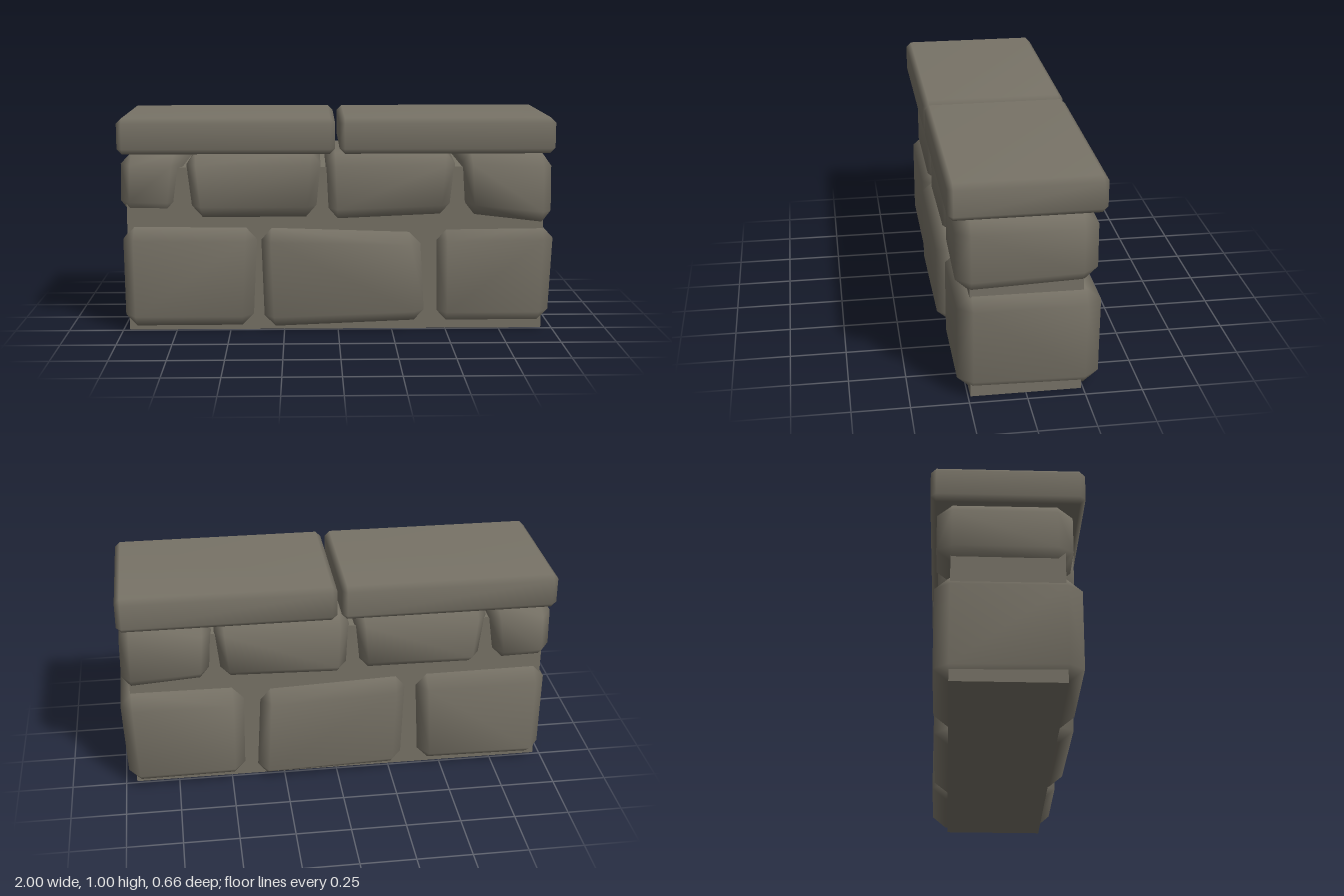
import * as THREE from 'three';
import { ConvexGeometry } from 'three/addons/geometries/ConvexGeometry.js';
import { mergeVertices } from 'three/addons/utils/BufferGeometryUtils.js';

const stone = new THREE.MeshStandardMaterial({ color: 0x787367 });
stone.name = 'warm grey stone';

// Bevelled block between a front and a back quad; corners run BL, BR, TR, TL.
function bevelledBlock(front, back, zFront, zBack, bevel) {
  const [bx, by, bz] = bevel;
  const width = front[1][0] - front[0][0];
  const height = front[3][1] - front[0][1];
  const inset = [bx / width, by / height, bz / (zFront - zBack)];
  const mix = THREE.MathUtils.lerp;
  const onQuad = (q, u, v, k) => mix(mix(q[0][k], q[1][k], u), mix(q[3][k], q[2][k], u), v);
  const points = [];
  for (const i of [0, 1]) for (const j of [0, 1]) for (const k of [0, 1]) {
    // each corner becomes three points, one on each adjoining face
    for (let face = 0; face < 3; face++) {
      const [u, v, w] = [i, j, k].map((side, axis) =>
        axis === face ? side : side ? 1 - inset[axis] : inset[axis]);
      points.push(new THREE.Vector3(
        mix(onQuad(back, u, v, 0), onQuad(front, u, v, 0), w),
        mix(onQuad(back, u, v, 1), onQuad(front, u, v, 1), w),
        mix(zBack, zFront, w)));
    }
  }
  // shared vertices with area-weighted normals: flat faces, softly shaded bevels
  const hull = new ConvexGeometry(points);
  hull.deleteAttribute('normal');
  const block = mergeVertices(hull);
  block.computeVertexNormals();
  return block;
}

export function createModel() {
  const wall = new THREE.Group();
  wall.name = 'stoneWall';
  const add = (name, geometry) => {
    const mesh = new THREE.Mesh(geometry, stone);
    mesh.name = name;
    wall.add(mesh);
    return mesh;
  };

  // Mortar core showing between the stones
  add('mortarCore', new THREE.BoxGeometry(1.92, 0.762, 0.48)).position.set(-0.01, 0.389, 0);

  // Lower course: q = front outline, z = front and back,
  // dx = shift of the back's right and left ends, dy = shift of its bottom corners
  const lower = [
    { q: [[-0.985, 0.03], [-0.395, 0.03], [-0.372, 0.49], [-0.99, 0.495]], z: [0.31, -0.305], dx: [0, 0], dy: [-0.01, 0] },
    { q: [[-0.345, 0.025], [0.405, 0.06], [0.38, 0.465], [-0.36, 0.49]], z: [0.32, -0.305], dx: [0.04, -0.03], dy: [-0.005, -0.06] },
    { q: [[0.455, 0.04], [0.98, 0.04], [1.0, 0.49], [0.45, 0.485]], z: [0.295, -0.317], dx: [-0.02, 0], dy: [-0.01, -0.015] },
  ];
  // Upper course
  const upper = [
    { q: [[-1.0, 0.56], [-0.745, 0.555], [-0.705, 0.835], [-0.995, 0.84]], z: [0.275, -0.3], dx: [0, 0.01], dy: [0, 0] },
    { q: [[-0.665, 0.54], [-0.105, 0.54], [-0.075, 0.84], [-0.7, 0.84]], z: [0.305, -0.295], dx: [0, 0], dy: [0, 0.005] },
    { q: [[-0.045, 0.525], [0.51, 0.55], [0.54, 0.835], [-0.06, 0.835]], z: [0.3, -0.3], dx: [0, 0.025], dy: [0.01, 0] },
    { q: [[0.585, 0.55], [0.985, 0.5], [0.98, 0.835], [0.565, 0.845]], z: [0.3, -0.3], dx: [0, 0], dy: [0, 0.025] },
  ];
  const courses = [['lowerStone', lower, [0.05, 0.055, 0.065]], ['upperStone', upper, [0.043, 0.055, 0.065]]];
  for (const [course, stones, bevel] of courses) {
    stones.forEach(({ q, z, dx, dy }, n) => {
      const back = q.map(([x, y], c) => [x + dx[c === 1 || c === 2 ? 1 : 0], y + (dy[c] ?? 0)]);
      add(course + (n + 1), bevelledBlock(q, back, z[0], z[1], bevel));
    });
  }

  // Two flat coping slabs
  for (const [name, x0, x1] of [['rightCapSlab', -1.0, -0.015], ['leftCapSlab', 0.005, 0.985]]) {
    const q = [[x0, 0.84], [x1, 0.84], [x1, 1.003], [x0, 1.003]];
    add(name, bevelledBlock(q, q, 0.33, -0.33, [0.024, 0.024, 0.024]));
  }
  return wall;
}
